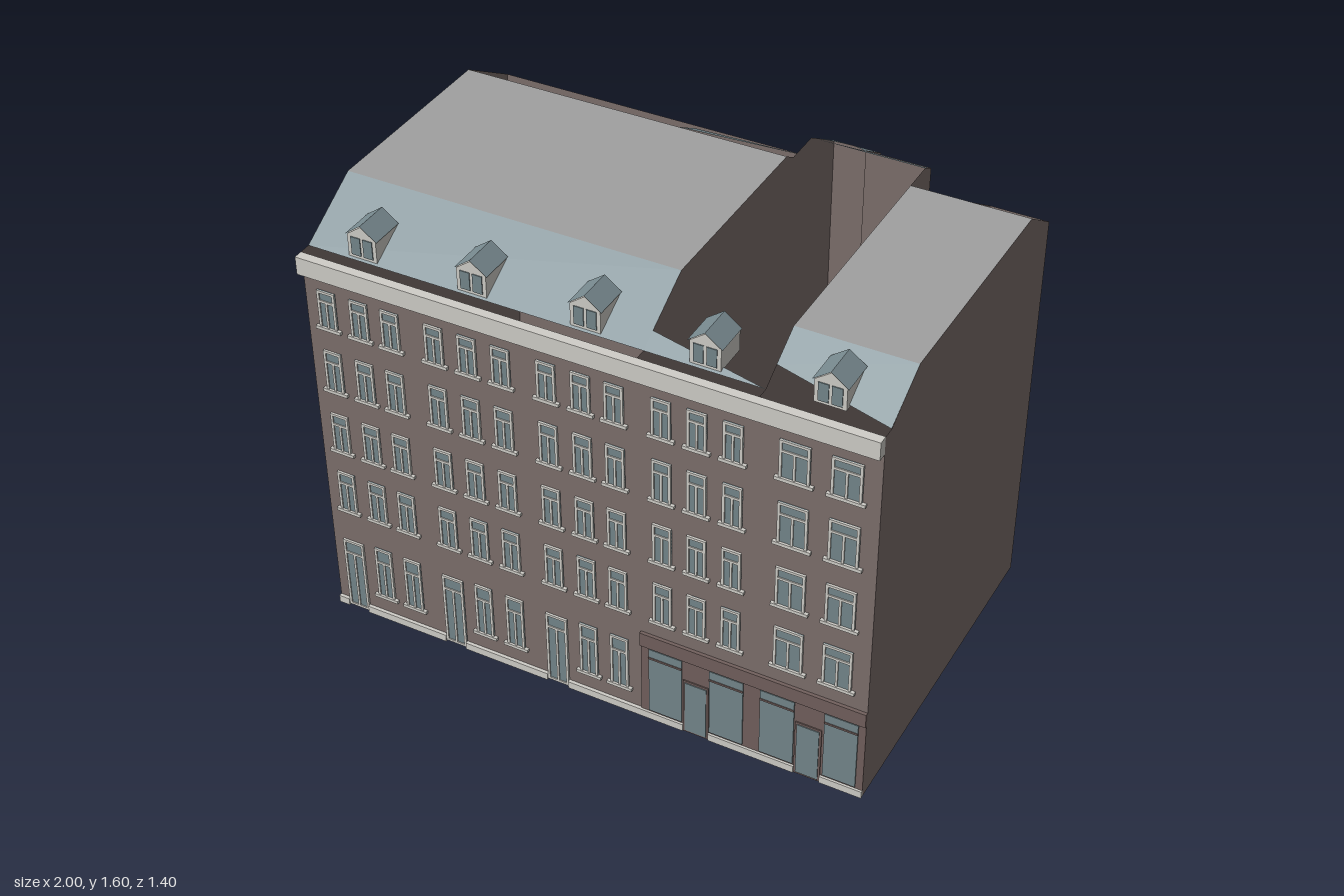
import * as THREE from 'three';

const mat = (name, color, side = THREE.FrontSide) => {
  const m = new THREE.MeshStandardMaterial({ color, side });
  m.name = name;
  return m;
};

export function createModel() {
  const model = new THREE.Group();
  model.name = 'townhouseRow';
  const brick = mat('brick', 0x7d6f6c, THREE.DoubleSide);
  const slate = mat('slate', 0x7b8d93, THREE.DoubleSide);
  const flat = mat('flatRoofGrey', 0xa0a0a0, THREE.DoubleSide);
  const trim = mat('lightTrim', 0xd0cec8);
  const glass = mat('glass', 0x74868b);
  const shop = mat('shopBrown', 0x72605d);

  // Fan of triangles from the first point
  const face = (name, material, pts, parent = model) => {
    const g = new THREE.BufferGeometry();
    const v = [];
    for (let i = 1; i < pts.length - 1; i++) v.push(...pts[0], ...pts[i], ...pts[i + 1]);
    g.setAttribute('position', new THREE.Float32BufferAttribute(v, 3));
    g.computeVertexNormals();
    const m = new THREE.Mesh(g, material);
    m.name = name;
    parent.add(m);
  };
  // Box given by its x, y and z ranges
  const box = (name, material, x0, x1, y0, y1, z0, z1, parent = model) => {
    const m = new THREE.Mesh(new THREE.BoxGeometry(x1 - x0, y1 - y0, z1 - z0), material);
    m.position.set((x0 + x1) / 2, (y0 + y1) / 2, (z0 + z1) / 2);
    m.name = name;
    parent.add(m);
  };

  const F = 0.67, B = -0.57, EAVE = 1.46;
  const rightX = (z) => 1 - 0.015 * (z - B) / (F - B);

  // Floor slab following the footprint
  const plan = [[-1, F], [0.985, F], [1, B], [0.8, B], [0.8, -0.4], [0.59, -0.4], [0.59, B],
    [0.36, B], [0.36, -0.7], [0.19, -0.7], [0.19, B], [-1, B]];
  const floor = new THREE.Mesh(
    new THREE.ShapeGeometry(new THREE.Shape(plan.map(([x, z]) => new THREE.Vector2(x, -z)))), brick);
  floor.rotation.x = -Math.PI / 2;
  floor.name = 'floor';
  model.add(floor);

  // Outer walls: start x, z, top, end x, z, top
  const wall = (name, x0, z0, y0, x1, z1, y1) =>
    face(name, brick, [[x0, 0, z0], [x1, 0, z1], [x1, y1, z1], [x0, y0, z0]]);
  wall('frontWall', -1, F, EAVE, 0.985, F, EAVE);
  wall('backWallRight', -1, B, EAVE, 0.19, B, EAVE);
  wall('towerBack', 0.19, -0.7, EAVE, 0.36, -0.7, EAVE);
  wall('towerSide', 0.36, -0.7, EAVE, 0.36, B, 1.54);
  wall('backWallMiddle', 0.36, B, 1.54, 0.59, B, 1.54);
  wall('notchBack', 0.59, -0.4, 1.57, 0.8, -0.4, 1.57);
  wall('notchSide', 0.8, -0.4, 1.57, 0.8, B, EAVE);
  wall('backWallLeft', 0.8, B, EAVE, 1, B, EAVE);

  // Gables and party walls from z, y profiles
  const gable = (name, x, profile) => {
    const at = typeof x === 'function' ? x : () => x;
    face(name, brick, [[0, 0], [F, 0], [F, EAVE], [0.63, EAVE], ...profile]
      .map(([z, y]) => [at(z), y, z]));
  };
  gable('gableRight', -1, [[0.39, 1.6], [-0.33, 1.6], [B, EAVE], [B, 0]]);
  gable('partyWallRight', 0.19,
    [[0.39, 1.6], [-0.33, 1.6], [-0.38, 1.57], [-0.515, 1.57], [-0.7, EAVE], [-0.7, 0]]);
  gable('partyWallLeft', 0.59, [[0.45, 1.57], [-0.515, 1.57], [B, 1.54], [B, 0]]);
  gable('gableLeft', rightX, [[0.45, 1.57], [-0.4, 1.57], [B, EAVE], [B, 0]]);

  // Flat roofs
  face('flatRoofRight', flat, [[-1, 1.6, 0.39], [0.19, 1.6, 0.39], [0.19, 1.6, -0.33], [-1, 1.6, -0.33]]);
  face('flatRoofLeft', flat,
    [[0.59, 1.57, 0.45], [rightX(0.45), 1.57, 0.45], [rightX(-0.4), 1.57, -0.4], [0.59, 1.57, -0.4]]);

  // Front slopes
  face('frontSlopeRight', slate, [[-1, EAVE, 0.63], [0.19, EAVE, 0.63], [0.19, 1.6, 0.39], [-1, 1.6, 0.39]]);
  face('frontSlopeMiddle', slate, [[0.19, EAVE, 0.63], [0.59, EAVE, 0.63], [0.19, 1.495, 0.57]]);
  face('frontSlopeLeft', slate,
    [[0.59, 1.503, 0.56], [0.985, EAVE, 0.63], [0.988, 1.57, 0.45], [0.59, 1.57, 0.45]]);

  // Partial back slopes
  const slopeY = (z) => EAVE + (z + 0.7) * 0.11 / 0.185;
  const backSlope = (name, pts) => face(name, slate, pts.map(([x, z]) => [x, slopeY(z), z]));
  backSlope('backSlopeMiddle', [[0.19, -0.515], [0.59, -0.515], [0.59, B], [0.36, B]]);
  backSlope('towerSlopeRight', [[0.19, -0.7], [0.19, B], [0.26, -0.7]]);
  backSlope('towerSlopeLeft', [[0.26, -0.7], [0.36, B], [0.36, -0.7]]);
  face('backSlopeRight', slate, [[0.19, EAVE, B], [-0.2, 1.6, -0.33], [-0.2, 1.53, -0.45]]);

  // Cornice
  box('cornice', trim, -1, 0.985, 1.395, EAVE, F, 0.703);

  // Street window: glass, frame, transom, mullion and sill
  const streetWindow = (x, y0, y1, w, isDoor) => {
    const g = new THREE.Group();
    g.name = isDoor ? 'frontDoor' : 'streetWindow';
    model.add(g);
    const h = w / 2, t = 0.009, z = F + 0.008;
    const ty = isDoor ? 0.245 : y1 - (y1 - y0) * 0.27;
    box('pane', glass, x - h, x + h, y0, y1, F, F + 0.004, g);
    for (const s of [-1, 1]) {
      const e = x + s * (h - t / 2);
      box('jamb', trim, e - t / 2, e + t / 2, y0, y1, F, z, g);
    }
    box('head', trim, x - h, x + h, y1 - t, y1, F, z, g);
    box('transom', trim, x - h, x + h, ty - t / 2, ty + t / 2, F, z, g);
    box('mullion', trim, x - 0.004, x + 0.004, y0, ty, F, z, g);
    if (isDoor) box('threshold', trim, x - h, x + h, y0, y0 + t, F, z, g);
    else box('sill', trim, x - h - 0.013, x + h + 0.013, y0, y0 + 0.012, F, F + 0.012, g);
  };
  const rows = [[1.185, 1.335], [0.935, 1.1], [0.685, 0.845], [0.43, 0.6]];
  const columns = [-0.92, -0.8, -0.685, -0.525, -0.405, -0.285, -0.125, -0.005, 0.11, 0.27, 0.39, 0.51];
  for (const [y0, y1] of rows) {
    for (const x of columns) streetWindow(x, y0, y1, 0.066);
    for (const x of [0.71, 0.877]) streetWindow(x, y0, y1, 0.1);
  }
  columns.slice(0, 9).forEach((x, i) =>
    i % 3 ? streetWindow(x, 0.09, 0.31, 0.066) : streetWindow(x, 0.005, 0.3, 0.08, true));

  // Plinth between the doors
  for (const [a, b] of [[-1, -0.96], [-0.88, -0.565], [-0.485, -0.165], [-0.085, 0.19],
    [0.19, 0.345], [0.437, 0.745], [0.837, 0.985]]) box('plinth', trim, a, b, 0, 0.028, F, F + 0.012);

  // Shopfront
  box('shopPanel', shop, 0.19, 0.985, 0.028, 0.315, F, F + 0.004);
  box('shopFascia', shop, 0.19, 0.985, 0.315, 0.37, F, F + 0.012);
  for (const [a, b] of [[0.22, 0.34], [0.44, 0.56], [0.62, 0.74], [0.845, 0.96]]) {
    box('shopWindow', glass, a, b, 0.035, 0.308, F, F + 0.008);
    box('shopTransom', shop, a, b, 0.268, 0.275, F, F + 0.011);
  }
  for (const x of [0.391, 0.791]) {
    box('shopDoorFrame', shop, x - 0.046, x + 0.046, 0, 0.228, F, F + 0.008);
    box('shopDoorGlass', glass, x - 0.039, x + 0.039, 0.008, 0.22, F, F + 0.011);
  }

  // Courtyard windows
  const backWindow = (x, z, y) => {
    box('backWindowFrame', trim, x - 0.052, x + 0.052, y - 0.07, y + 0.07, z - 0.005, z);
    box('backWindowGlass', glass, x - 0.044, x + 0.044, y - 0.062, y + 0.062, z - 0.008, z);
  };
  for (const y of [1.27, 1.02, 0.77, 0.52, 0.15]) {
    for (const x of [-0.92, -0.68, -0.52, -0.28, 0.09, 0.9]) backWindow(x, B, y);
    backWindow(0.7, -0.4, y);
  }

  // Dormers
  const outline = new THREE.Shape([[-0.052, 1.465], [0.052, 1.465], [0.052, 1.545], [0, 1.583], [-0.052, 1.545]]
    .map((p) => new THREE.Vector2(...p)));
  const body = new THREE.ExtrudeGeometry(outline, { depth: 0.122, bevelEnabled: false });
  for (const x of [-0.8, -0.405, -0.01, 0.39, 0.79]) {
    const d = new THREE.Group();
    d.name = 'dormer';
    d.position.x = x;
    model.add(d);
    const m = new THREE.Mesh(body, trim);
    m.position.z = 0.5;
    m.name = 'dormerBody';
    d.add(m);
    for (const s of [-1, 1]) {
      face('dormerRoof', slate,
        [[0, 1.588, 0.5], [0, 1.588, 0.626], [s * 0.058, 1.545, 0.626], [s * 0.058, 1.545, 0.5]], d);
      box('dormerPane', glass, s * 0.022 - 0.017, s * 0.022 + 0.017, 1.475, 1.54, 0.62, 0.625, d);
    }
  }
  return model;
}
